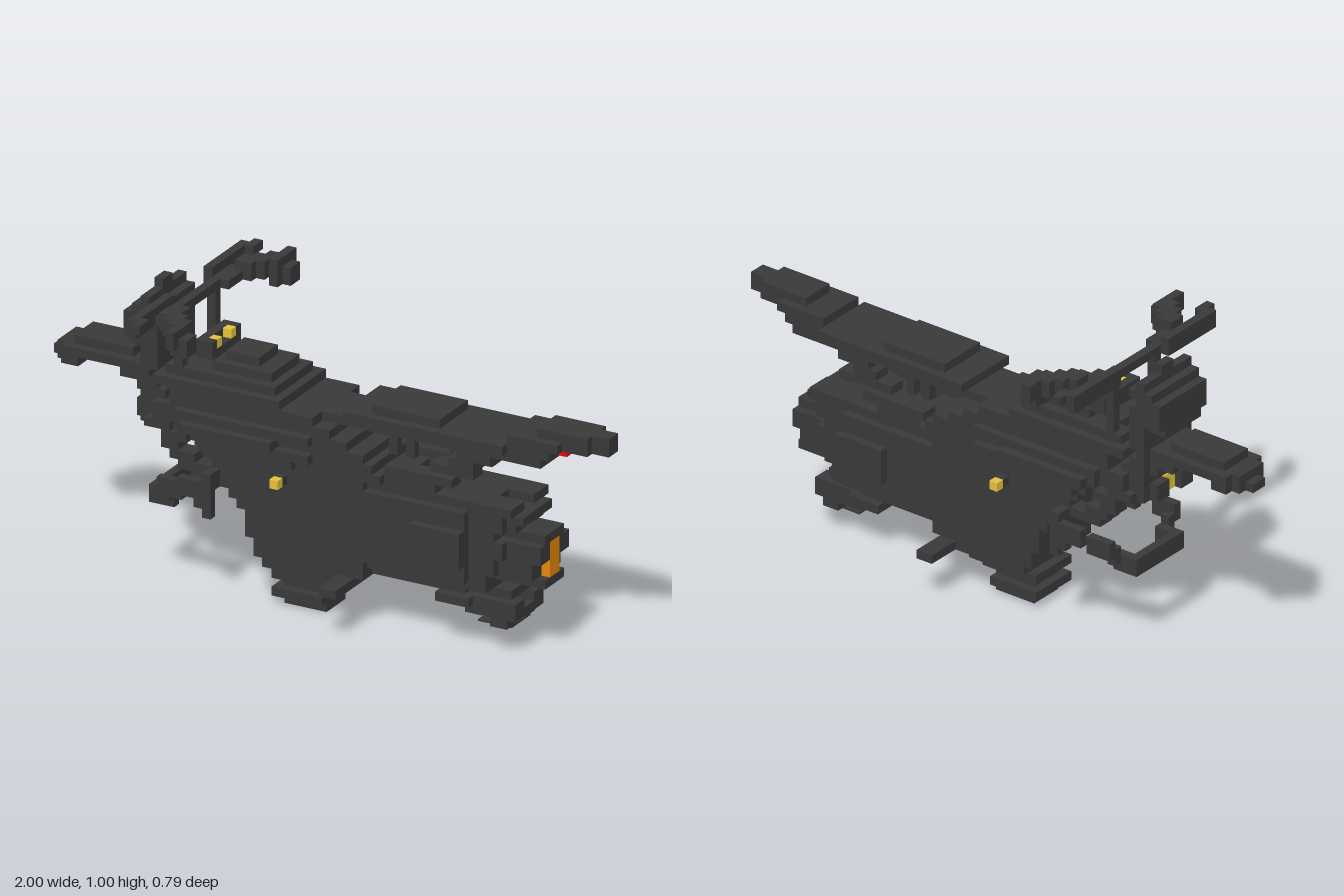
import * as THREE from 'three';
import { mergeGeometries } from 'three/addons/utils/BufferGeometryUtils.js';

const U = 1 / 33; // edge of one block

export function createModel() {
  const group = new THREE.Group();
  const material = (name, color) => {
    const m = new THREE.MeshStandardMaterial({ color });
    m.name = name;
    return m;
  };
  const dark = material('charcoal', 0x393939);
  const yellow = material('yellow', 0xe4c23c);
  const red = material('red', 0xe40808);
  const orange = material('orange', 0xe48606);

  // One box between block coordinates
  const block = (x0, x1, y0, y1, z0, z1) =>
    new THREE.BoxGeometry((x1 - x0) * U, (y1 - y0) * U, (z1 - z0) * U)
      .translate((x0 + x1) / 2 * U, (y0 + y1) / 2 * U, (z0 + z1) / 2 * U);
  const add = (name, mat, geometries) => {
    const mesh = new THREE.Mesh(mergeGeometries(geometries), mat);
    mesh.name = name;
    group.add(mesh);
  };
  const centred = (name, mat, list) => add(name, mat, list.map((b) => block(...b)));
  const mirrored = (name, mat, list) => add(name, mat, list.flatMap(
    ([x0, x1, y0, y1, z0, z1]) => [block(x0, x1, y0, y1, z0, z1), block(x0, x1, y0, y1, -z1, -z0)]));

  // Plan outline: [end x, half width]
  const plan = [[-32, 1], [-31, 2], [-20, 3], [-19, 4], [-18, 5], [-15, 6], [-4, 7], [0, 6],
    [12, 5], [18, 6], [22, 4], [28, 3], [31, 2], [33, 1]];
  // Rows of [y, start x, end x, half width], narrowed to the plan outline
  const rows = (name, list) => {
    const parts = [];
    for (const [y, x0, x1, half] of list) {
      let start = x0;
      for (const [end, width] of plan) {
        const stop = Math.min(end, x1);
        if (stop <= start) continue;
        const h = Math.min(half, width);
        parts.push(block(start, stop, y, y + 1, -h, h));
        start = stop;
      }
    }
    add(name, dark, parts);
  };

  rows('engineFoot', [
    [0, -5, 0, 2], [1, -6, 0, 3], [2, -5, 0, 2], [3, -6, 1, 3], [4, -4, 2, 4], [5, -6, 5, 5],
  ]);
  // Flat-sided frame
  rows('mainBody', [
    [6, -7, 6, 5], [7, -7, 6, 5], [8, -8, 6, 5], [9, -8, 6, 5], [10, -8, 6, 5],
    [11, -9, 6, 5], [12, -10, 6, 5], [13, -11, 6, 5], [14, -11, 6, 5], [15, -12, 6, 5],
    [16, -13, 6, 5], [17, -14, 8, 5], [18, -14, 7, 5],
  ]);
  // Rounded engine housing behind the frame
  rows('engineHousing', [
    [6, 6, 17, 3], [7, 6, 20, 4], [8, 6, 20, 5], [9, 6, 21, 5], [10, 6, 21, 6], [11, 6, 22, 6],
    [12, 6, 22, 6], [13, 6, 21, 6], [14, 6, 22, 5], [15, 6, 22, 5], [16, 6, 20, 4], [17, 8, 10, 4],
  ]);
  // Tank, widest at mid height and stepped towards the top
  rows('fuelTank', [
    [17, -13, -2, 6], [18, -14, 0, 6], [19, -17, 6, 5], [19, -16, -4, 7], [20, -18, 4, 5], [20, -16, 0, 6],
    [21, -17, 2, 5], [22, -17, 0, 5], [23, -19, -4, 5], [24, -16, -5, 4], [25, -13, -6, 3], [26, -12, -8, 2],
  ]);

  // Rear barrel, rails and lower pod
  rows('rearBarrel', [
    [8, 20, 25, 2], [9, 21, 25, 3], [10, 21, 25, 3], [11, 22, 25, 3], [12, 22, 25, 3], [13, 21, 26, 2],
  ]);
  mirrored('barrelRim', dark, [[25, 26, 11, 13, 1, 3], [25, 26, 8, 9, 0, 2]]);
  mirrored('rearRails', dark, [
    [20, 23, 16, 17, 1, 4], [22, 24, 15, 16, 0, 3], [21, 23, 14, 15, 1, 3],
  ]);
  mirrored('lowerPod', dark, [
    [14, 18, 5, 6, 0, 4], [18, 23, 5, 6, 1, 3], [17, 23, 4, 5, 0, 3],
    [20, 22, 3, 4, 1, 3], [18, 22, 6, 7, 0, 2], [17, 18, 3, 4, 0, 1],
    [18, 22, 2.8, 3, 0, 2],
  ]);
  mirrored('footPegs', dark, [[3, 5, 5, 6, 5, 9]]);

  // Seat, tail and struts
  rows('seatAndTail', [
    [22, -3, 26, 3], [23, 3, 27, 4], [24, 6, 14, 3], [24, 22, 33, 3], [25, 25, 33, 2],
  ]);
  mirrored('seatStruts', dark, [
    [6, 14, 17, 18, 2, 4], [8, 16, 18, 19, 2, 4], [13, 18, 19, 20, 1, 3],
    [15, 18, 20, 21, 1, 3], [16, 20, 21, 22, 0, 3],
    [8, 9, 20, 22, 2, 3], [10, 11, 20, 22, 2, 3],
  ]);

  // Front fender, neck and shield
  rows('frontFender', [[22, -33, -29, 3], [23, -32, -21, 3], [24, -30, -23, 2]]);
  rows('fenderNeck', [
    [22, -24, -19, 4], [21, -22, -18, 4], [20, -21, -17, 5], [19, -21, -17, 5], [18, -21, -19, 3],
  ]);
  mirrored('headlightFrame', dark, [[-22, -21, 18, 20, 1, 3]]);
  mirrored('frontShield', dark, [
    [-21, -20, 18, 25, 2, 4], [-21, -19, 24, 27, 0, 4], [-23, -21, 26, 28, 0, 3],
    [-23, -19, 27, 29, 0, 4], [-23, -20, 29, 30, 0, 4], [-22, -19, 30, 31, 0, 4],
    [-21, -20, 31, 32, 0, 4], [-21, -20, 32, 33, 0, 1],
  ]);
  mirrored('forkLegs', dark, [
    [-20, -17, 18, 19, 3, 5], [-18, -15, 17, 18, 3, 5], [-18, -16, 16, 17, 3, 5],
    [-17, -14, 15, 16, 3, 5], [-16, -12, 14, 15, 3, 5],
  ]);

  // Bent pipe looping round in front of the engine
  mirrored('frontPipe', dark, [
    [-20, -19, 9, 11, 0, 3], [-20, -17, 9, 11, 3, 4], [-18, -17, 10, 12, 4, 5],
    [-18, -15, 11, 13, 5, 6], [-15, -13, 12, 13, 6, 7], [-15, -11, 13, 14, 6, 7],
    [-13, -11, 11, 13, 6, 7], [-12, -11, 10, 11, 6, 7], [-12, -11, 13, 15, 5, 7],
  ]);

  // Handlebar with stems, levers and grips
  mirrored('handlebarStems', dark, [
    [-17, -16, 23, 32, 3, 4], [-18, -16, 24, 25, 2, 4], [-17, -16, 31, 32, 0, 4],
  ]);
  mirrored('handlebarLevers', dark, [
    [-18, -17, 31, 33, 4, 12], [-17, -16, 32, 33, 11, 13],
  ]);
  mirrored('handlebarGrips', dark, [
    [-17, -15, 31, 32, 4, 8], [-16, -14, 31, 33, 7, 9], [-15, -13, 31, 33, 8, 10],
    [-14, -12, 31, 33, 9, 11], [-13, -11, 30, 32, 10, 12], [-13, -12, 31, 33, 11, 13],
    [-13, -12, 30, 31, 9, 10],
  ]);

  // Instruments and lamps
  centred('instrumentPanel', dark, [[-15, -13, 26, 27, -3, 3], [-15, -14, 27, 28, -2, 2]]);
  mirrored('instrumentSides', dark, [[-15, -13, 27, 28, 2, 3]]);
  mirrored('gauges', yellow, [[-14, -13, 27, 28, 1, 2]]);
  mirrored('indicatorStalks', dark, [[-4, -3, 15, 16, 5, 6]]);
  mirrored('sideIndicators', yellow, [[-4, -3, 15, 16, 6, 7]]);
  centred('headlight', yellow, [[-21.2, -21, 18, 20, -1, 1]]);
  centred('tailLamp', red, [[27, 28, 23, 24, -1, 1]]);
  centred('rearLamp', red, [[22, 22.25, 14, 15, -1, 1]]);
  centred('barrelGlow', orange, [[25, 26, 9, 13, -1, 1]]);
  centred('lowerLamps', yellow, [[18, 18.2, 5, 6, -1, 1], [18, 18.2, 3, 4, -1, 1]]);
  return group;
}
